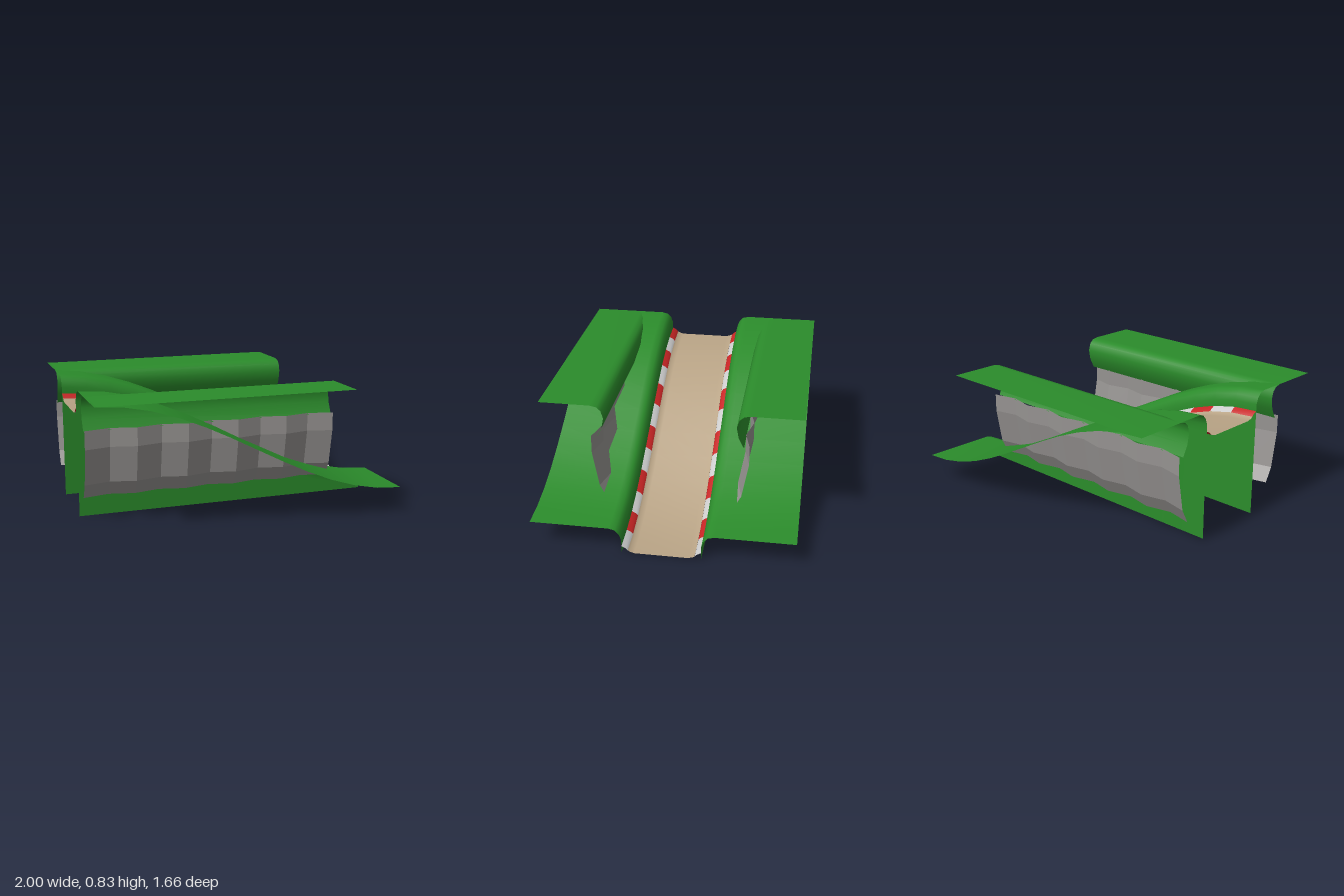
import * as THREE from 'three';

const LENGTH_STEPS = 12;
const PLATEAU_END = 0.66;

const material = (color, flatShading = false) =>
  new THREE.MeshStandardMaterial({ color, flatShading, side: THREE.DoubleSide });

// Height of the road: an S-shaped ramp from high (-x) to low (+x)
const rampHeight = (x) => (0.667 * (1 - Math.sin((x * Math.PI) / 2))) / 2;

const range = (from, to, steps) =>
  Array.from({ length: steps + 1 }, (_, i) => from + ((to - from) * i) / steps);

// Surface through cross-sections: section(x, i) gives [z, y] points; side mirrors z
function sweep(name, xs, section, mat, side = 1) {
  const positions = [];
  const index = [];
  const n = section(xs[0], 0).length;
  xs.forEach((x, i) => {
    for (const [z, y] of section(x, i)) positions.push(x, y, z * side);
  });
  for (let i = 0; i < xs.length - 1; i++) {
    for (let j = 0; j < n - 1; j++) {
      const a = i * n + j, b = a + 1, c = a + n, d = c + 1;
      if (side > 0) index.push(a, b, c, b, d, c);
      else index.push(a, c, b, b, c, d);
    }
  }
  const geometry = new THREE.BufferGeometry();
  geometry.setAttribute('position', new THREE.Float32BufferAttribute(positions, 3));
  geometry.setIndex(index);
  geometry.computeVertexNormals();
  const mesh = new THREE.Mesh(geometry, mat);
  mesh.name = name;
  return mesh;
}

export function createModel() {
  const model = new THREE.Group();
  model.name = 'slopedTrack';

  const grass = material(0x2b8c2b);
  const dirt = material(0xb8a385);
  const red = material(0xc62424);
  const white = material(0xcccccc);
  const rock = material(0x969391, true);

  const xs = range(-1, 1, LENGTH_STEPS);
  // Section that follows the ramp
  const onRamp = (profile) => (x) => profile.map(([z, y]) => [z, y + rampHeight(x)]);

  // Road bed with slightly raised edges
  model.add(sweep('road', xs, onRamp([
    [-0.21, 0.018], [-0.2, 0.01], [-0.17, 0], [0.17, 0], [0.2, 0.01], [0.21, 0.018],
  ]), dirt));

  for (const side of [1, -1]) {
    const label = side > 0 ? 'Front' : 'Back';

    // Striped kerb
    const kerb = new THREE.Group();
    kerb.name = 'kerb' + label;
    for (let i = 0; i < LENGTH_STEPS; i++) {
      kerb.add(sweep('kerbBlock', [xs[i], xs[i + 1]],
        onRamp([[0.21, 0.015], [0.222, 0.03], [0.25, 0.045]]), i % 2 ? white : red, side));
    }
    model.add(kerb);

    // Grass bank that rolls away from the kerb and follows the ramp
    model.add(sweep('grassBank' + label, xs, onRamp([
      [0.25, 0.045], [0.25, 0.09], [0.265, 0.13], [0.29, 0.157], [0.33, 0.167], [0.83, 0.167],
    ]), grass, side));

    // Vertical skirt from the bank down to the ground
    model.add(sweep('skirt' + label, xs,
      (x) => [[0.25, 0], [0.25, rampHeight(x) + 0.045]], grass, side));

    // Level grass plateau with an overhanging lip
    model.add(sweep('plateau' + label, [-1, PLATEAU_END], () => [
      [0.465, 0.61], [0.43, 0.68], [0.417, 0.75], [0.432, 0.8], [0.46, 0.825],
      [0.5, 0.833], [0.83, 0.833],
    ], grass, side));

    // Corrugated rock face beneath the lip
    model.add(sweep('cliff' + label, range(-1, PLATEAU_END, 10), (x, i) => {
      const dent = i % 2 ? 0.038 : 0;
      return [
        [0.408 - dent, 0.17], [0.458 - dent, 0.265], [0.5 - dent, 0.5], [0.5 - dent, 0.62],
      ];
    }, rock, side));
  }

  return model;
}
